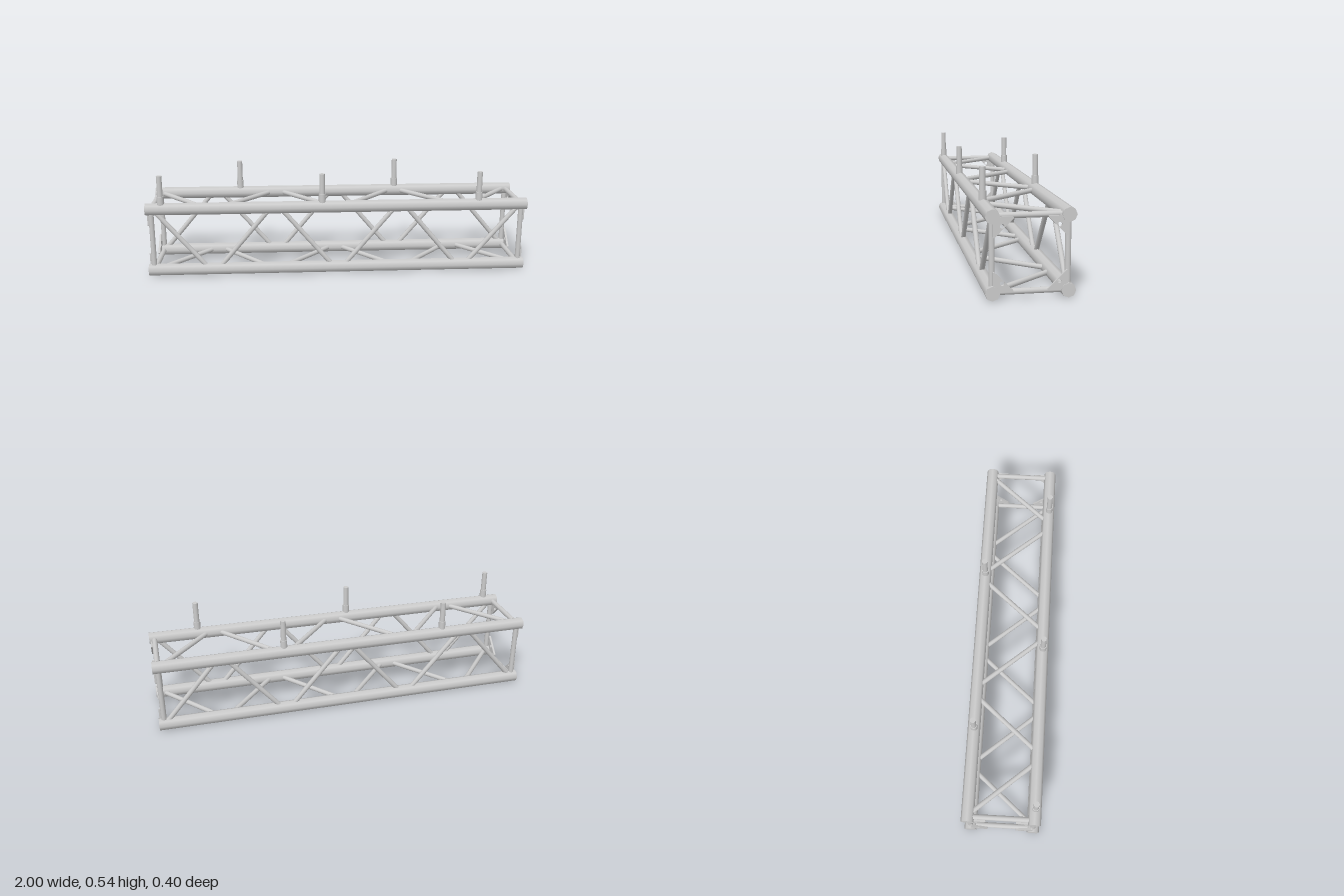
import * as THREE from 'three';

const material = new THREE.MeshStandardMaterial({ color: 0xcccccc });
const MID_Y = 0.198; // height of the truss centre line
const HALF = 0.166; // centre line to chord axis
const END_X = 0.973; // end frame position

// Round bar between two points
function bar(name, a, b, radius, sides) {
  const from = new THREE.Vector3(...a), to = new THREE.Vector3(...b);
  const dir = to.clone().sub(from);
  const mesh = new THREE.Mesh(new THREE.CylinderGeometry(radius, radius, dir.length(), sides), material);
  mesh.name = name;
  mesh.position.copy(from).add(to).multiplyScalar(0.5);
  mesh.quaternion.setFromUnitVectors(new THREE.Vector3(0, 1, 0), dir.normalize());
  return mesh;
}

// Triangular plate with blunt tips and a bolt hole, corner at the origin
function gussetGeometry() {
  const leg = 0.088, tip = 0.007;
  const shape = new THREE.Shape();
  shape.moveTo(0, 0);
  shape.lineTo(leg - 0.003, 0);
  shape.quadraticCurveTo(leg + 0.003, 0.001, leg - 0.001, tip);
  shape.lineTo(tip, leg - 0.001);
  shape.quadraticCurveTo(0.001, leg + 0.003, 0, leg - 0.003);
  shape.closePath();
  const hole = new THREE.Path();
  hole.absarc(0.039, 0.039, 0.01, 0, Math.PI * 2, true);
  shape.holes.push(hole);
  const geometry = new THREE.ExtrudeGeometry(shape, { depth: 0.011, bevelEnabled: false, curveSegments: 8 });
  return geometry.translate(0, 0, -0.0055);
}

// Upright pin: wide sleeve with a slimmer spigot
function pin(x, z) {
  const group = new THREE.Group();
  group.name = 'pin';
  group.add(bar('sleeve', [x, 0.375, z], [x, 0.433, z], 0.018, 16));
  group.add(bar('spigot', [x, 0.42, z], [x, 0.541, z], 0.0142, 16));
  return group;
}

export function createModel() {
  const model = new THREE.Group();
  model.name = 'boxTruss';

  // Four octagonal chords
  for (const sy of [-1, 1]) for (const sz of [-1, 1]) {
    const y = MID_Y + sy * HALF, z = sz * HALF;
    const chord = bar('chord', [-1, y, z], [1, y, z], 0.0325, 8);
    model.add(chord);
  }

  // Zigzag braces on all four faces, opposite faces crossing each other
  for (let i = 0; i < 6; i++) {
    const xc = -0.825 + i * 0.33, dx = 0.141;
    const flip = i % 2 === 0 ? 1 : -1;
    for (const side of [-1, 1]) {
      const d = flip * side * HALF, s = side * HALF;
      model.add(bar('sideBrace', [xc - dx, MID_Y + d, s], [xc + dx, MID_Y - d, s], 0.0125, 12));
      model.add(bar('levelBrace', [xc - dx, MID_Y + s, -d], [xc + dx, MID_Y + s, d], 0.0125, 12));
    }
  }

  // End frames with corner gussets
  const gusset = gussetGeometry();
  for (const sx of [-1, 1]) {
    const x = sx * END_X;
    for (const s of [-1, 1]) {
      model.add(bar('endPost', [x, MID_Y - HALF, s * HALF], [x, MID_Y + HALF, s * HALF], 0.0135, 12));
      model.add(bar('endRail', [x, MID_Y + s * HALF, -HALF], [x, MID_Y + s * HALF, HALF], 0.0135, 12));
    }
    for (let k = 0; k < 4; k++) {
      const holder = new THREE.Group();
      holder.name = 'gusset';
      const plate = new THREE.Mesh(gusset, material);
      plate.name = 'gussetPlate';
      plate.position.set(-HALF + 0.003, -HALF + 0.003, 0);
      const spin = new THREE.Group();
      spin.rotation.z = k * Math.PI / 2;
      spin.add(plate);
      holder.add(spin);
      holder.rotation.y = Math.PI / 2;
      holder.position.set(sx * 0.9895, MID_Y, 0);
      model.add(holder);
    }
  }

  // Pins on the top chords: three in front, two behind
  for (const x of [-0.92, -0.085, 0.743]) model.add(pin(x, 0.169));
  for (const x of [-0.53, 0.335]) model.add(pin(x, -0.164));

  return model;
}
